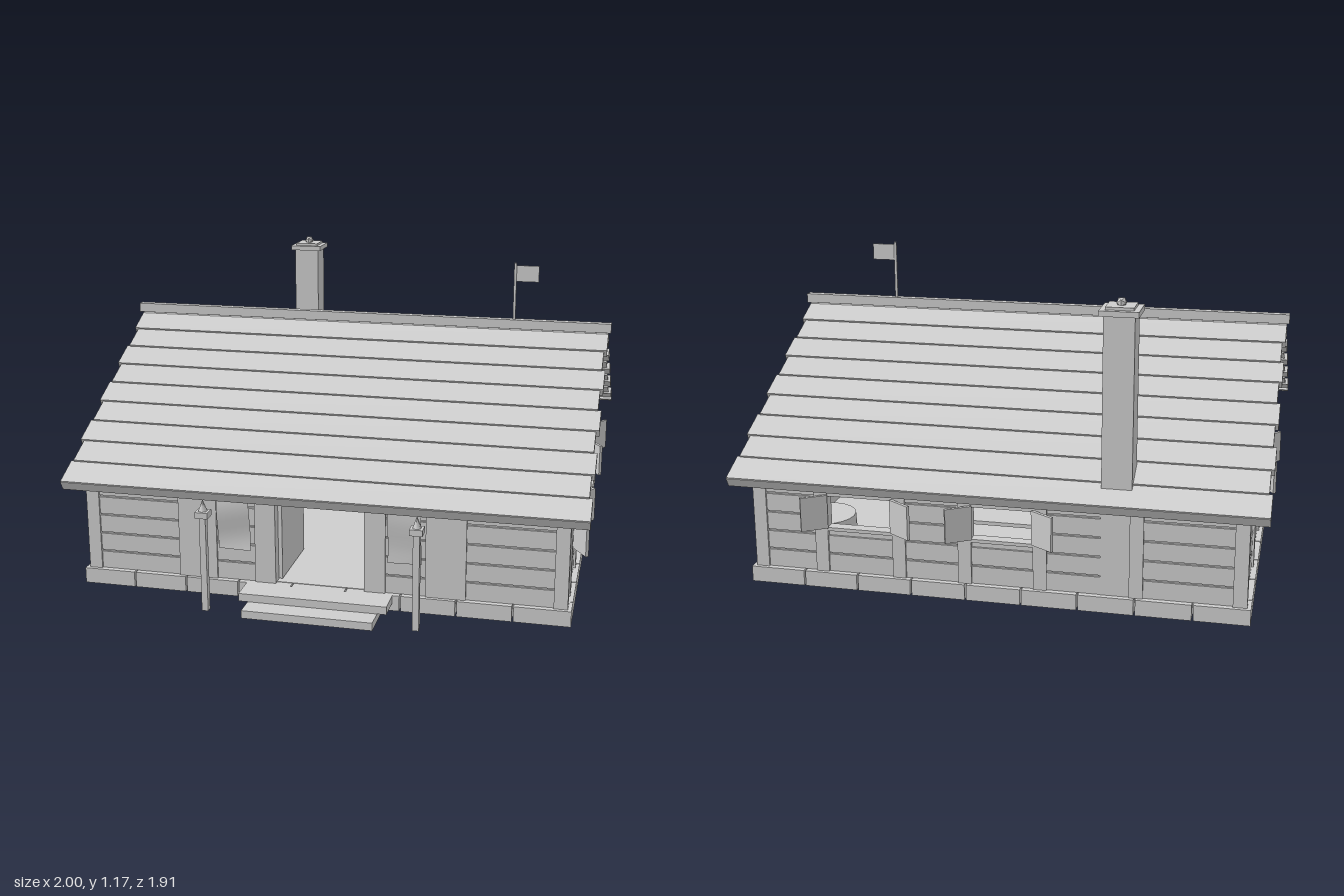
import * as THREE from 'three';

const paint = new THREE.MeshStandardMaterial({ color: 0xcccccc });
paint.name = 'plain grey';
const paintBoth = paint;
paintBoth.side = THREE.DoubleSide;

const ZC = -0.06; // ridge line of the house

function add(parent, name, geo, x = 0, y = 0, z = 0) {
  const m = new THREE.Mesh(geo, paint);
  m.name = name;
  m.position.set(x, y, z);
  parent.add(m);
  return m;
}

// box given by its minimum and maximum corners
function span(parent, name, x0, x1, y0, y1, z0, z1) {
  return add(parent, name, new THREE.BoxGeometry(x1 - x0, y1 - y0, z1 - z0),
    (x0 + x1) / 2, (y0 + y1) / 2, (z0 + z1) / 2);
}

function group(parent, name) {
  const g = new THREE.Group();
  g.name = name;
  parent.add(g);
  return g;
}

// A wall in its own frame: u runs along x, outward is +z, outer face of the core at z = 0
function wall(parent, name, half, windows, posts, door, gable) {
  const g = group(parent, name);
  const Y0 = 0.06, Y1 = 0.43, W0 = 0.235, W1 = 0.365;
  const holes = windows.map(([a, b]) => [a, b, W0, W1]);
  if (door) holes.push([door[0], door[1], 0.062, 0.41]);

  const shape = new THREE.Shape();
  shape.moveTo(-half, Y0).lineTo(half, Y0).lineTo(half, Y1);
  if (gable) shape.lineTo(0, 0.87);
  shape.lineTo(-half, Y1).closePath();
  for (const [a, b, c, d] of holes) {
    const p = new THREE.Path();
    p.moveTo(a, c).lineTo(a, d).lineTo(b, d).lineTo(b, c).closePath();
    shape.holes.push(p);
  }
  const core = new THREE.ExtrudeGeometry(shape, { depth: 0.03, bevelEnabled: false });
  add(g, 'wallCore', core, 0, 0, -0.03);

  // horizontal planks, interrupted by openings
  const rows = 5, h = (Y1 - Y0) / rows;
  for (let r = 0; r < rows; r++) {
    const y0 = Y0 + r * h, y1 = y0 + h - 0.007;
    const cuts = holes.filter(o => o[2] < y1 - 0.01 && o[3] > y0 + 0.01).sort((a, b) => a[0] - b[0]);
    let u = -half;
    for (const o of [...cuts, [half, half]]) {
      if (o[0] - u > 0.01) span(g, 'plank', u, o[0], y0, y1, 0, 0.008);
      u = o[1];
    }
  }
  for (const [a, b] of posts) span(g, 'wallPost', a, b, Y0, Y1 - 0.015, -0.005, 0.016);

  // sill, lintel and a pair of swung-open shutters
  for (const [a, b] of windows) {
    span(g, 'windowSill', a, b, 0.222, W0, -0.03, 0.014);
    span(g, 'windowLintel', a, b, W1, 0.378, -0.03, 0.012);
    for (const s of [-1, 1]) {
      const hinge = group(g, 'shutter');
      hinge.position.set(s < 0 ? a : b, 0, 0.014);
      hinge.rotation.y = -s * 0.57;
      span(hinge, 'shutterBoard', s < 0 ? -0.1 : 0, s < 0 ? 0 : 0.1, W0, W1, -0.002, 0.01);
    }
  }
  if (gable) { // round vent
    const disc = add(g, 'gableVent', new THREE.CylinderGeometry(0.04, 0.04, 0.016, 12), 0, 0.65, 0.004);
    disc.rotation.x = Math.PI / 2;
  }
  return g;
}

// One roof slope made of overlapping courses, falling towards local +z
function roofSlope(parent, name, turn) {
  const g = group(parent, name);
  g.position.set(0, 0.905, ZC);
  g.rotation.y = turn;
  const tilt = group(g, 'slope');
  tilt.rotation.x = Math.atan(0.54);
  const courses = 9, step = 1.01 / courses;
  for (let i = 0; i < courses; i++) {
    const w = 0.99 - (i % 2) * 0.012;
    const c = span(tilt, 'roofCourse', -w, w, -0.015, 0.015, -0.058, 0.058);
    c.position.set(0, -0.013, (i + 0.5) * step);
    c.rotation.x = -0.06;
  }
  span(tilt, 'eaveBoard', -0.99, 0.99, -0.036, 0.003, 0.992, 1.014);
}

export function createModel() {
  const model = new THREE.Group();
  model.name = 'cabin';

  // stone footing: a ring of blocks round the floor
  const footing = group(model, 'footing');
  const X = 0.935, ZF = 0.775, ZB = -0.895, T = 0.085, n = 9;
  for (let i = 0; i < n; i++) {
    const x0 = -X + i * 2 * X / n, x1 = x0 + 2 * X / n - (i < n - 1 ? 0.006 : 0);
    span(footing, 'footingBlock', x0, x1, 0, 0.06, ZF - T, ZF);
    span(footing, 'footingBlock', x0, x1, 0, 0.06, ZB, ZB + T);
    const d = (ZF - ZB - 2 * T) / 8;
    if (i < 8) for (const s of [-1, 1]) {
      const z0 = ZB + T + i * d;
      span(footing, 'footingBlock', s < 0 ? -X : X - T, s < 0 ? -X + T : X, 0, 0.06, z0 + 0.003, z0 + d - 0.003);
    }
  }
  span(model, 'floor', -0.9, 0.9, 0.035, 0.062, -0.86, 0.74);

  // walls
  const front = wall(model, 'frontWall', 0.905, [],
    [[-0.92, -0.87], [-0.55, -0.4], [-0.25, -0.17], [0.17, 0.25], [0.4, 0.55], [0.87, 0.92]], [-0.17, 0.17]);
  front.position.z = 0.745;
  const back = wall(model, 'backWall', 0.905, [[-0.63, -0.38], [-0.08, 0.15]],
    [[-0.92, -0.87], [-0.68, -0.63], [-0.38, -0.33], [-0.13, -0.08], [0.15, 0.2], [0.5, 0.55], [0.87, 0.92]]);
  back.position.z = -0.865;
  back.rotation.y = Math.PI;
  const right = wall(model, 'sideWallRight', 0.8, [[-0.65, -0.42], [0.295, 0.55]],
    [[-0.82, -0.77], [-0.7, -0.65], [-0.42, -0.37], [-0.02, 0.025], [0.245, 0.295], [0.55, 0.6], [0.77, 0.82]], null, true);
  right.position.set(0.905, 0, ZC);
  right.rotation.y = Math.PI / 2;
  const left = wall(model, 'sideWallLeft', 0.8, [[-0.02, 0.24]],
    [[-0.82, -0.77], [-0.45, -0.4], [-0.07, -0.02], [0.24, 0.29], [0.5, 0.55], [0.77, 0.82]], null, true);
  left.position.set(-0.905, 0, ZC);
  left.rotation.y = -Math.PI / 2;

  // door standing open into the house
  span(model, 'door', -0.17, -0.155, 0.065, 0.4, 0.41, 0.72);

  // roof
  roofSlope(model, 'roofFront', 0);
  roofSlope(model, 'roofBack', Math.PI);
  span(model, 'ridgeBeam', -1, 1, 0.908, 0.945, ZC - 0.016, ZC + 0.016);

  // chimney
  const chimney = group(model, 'chimney');
  span(chimney, 'chimneyStack', -0.505, -0.395, 0.06, 1.09, -0.875, -0.765);
  span(chimney, 'chimneyCap', -0.52, -0.38, 1.085, 1.105, -0.89, -0.75);
  span(chimney, 'chimneyRim', -0.5, -0.4, 1.105, 1.115, -0.87, -0.77);
  add(chimney, 'smokePuff', new THREE.IcosahedronGeometry(0.02, 0), -0.45, 1.123, -0.82);

  // flag on the ridge
  const flag = group(model, 'flag');
  add(flag, 'flagPole', new THREE.CylinderGeometry(0.006, 0.006, 0.23, 6), 0.61, 1.06, ZC);
  span(flag, 'flagCloth', 0.615, 0.705, 1.1, 1.165, ZC - 0.002, ZC + 0.002);

  // entrance steps
  span(model, 'upperStep', -0.28, 0.28, 0.03, 0.06, 0.775, 0.88);
  span(model, 'lowerStep', -0.245, 0.245, 0, 0.03, 0.8, 0.96);

  for (const s of [-1, 1]) {
    // torch posts
    const torch = group(model, 'torchPost');
    torch.position.set(s * 0.395, 0, 0.915);
    span(torch, 'torchPole', -0.012, 0.012, 0, 0.37, -0.012, 0.012);
    span(torch, 'torchHead', -0.024, 0.024, 0.365, 0.388, -0.024, 0.024);
    add(torch, 'torchFlame', new THREE.ConeGeometry(0.017, 0.045, 6), 0, 0.41, 0);

    // waving banners beside the door
    const cloth = new THREE.PlaneGeometry(0.125, 0.21, 1, 6);
    const p = cloth.attributes.position;
    for (let i = 0; i < p.count; i++) p.setZ(i, 0.01 * Math.sin(p.getY(i) * 22 + s * p.getX(i) * 8));
    cloth.computeVertexNormals();
    add(model, 'banner', cloth, s * 0.325, 0.295, 0.782);
  }

  // furniture: barrel, table and bench
  add(model, 'barrel', new THREE.CylinderGeometry(0.12, 0.13, 0.2, 20), 0.72, 0.11, -0.68);
  const table = group(model, 'table');
  span(table, 'tableTop', -0.2, 0.25, 0.14, 0.155, -0.5, -0.25);
  for (const x of [-0.17, 0.22]) for (const z of [-0.48, -0.27])
    span(table, 'tableLeg', x - 0.01, x + 0.01, 0.06, 0.14, z - 0.01, z + 0.01);
  span(model, 'bench', -0.2, 0.25, 0.1, 0.112, -0.14, -0.06);
  for (const x of [-0.09, 0.085])
    span(model, 'benchLeg', x - 0.008, x + 0.008, 0.06, 0.1, -0.13, -0.07);

  return model;
}
